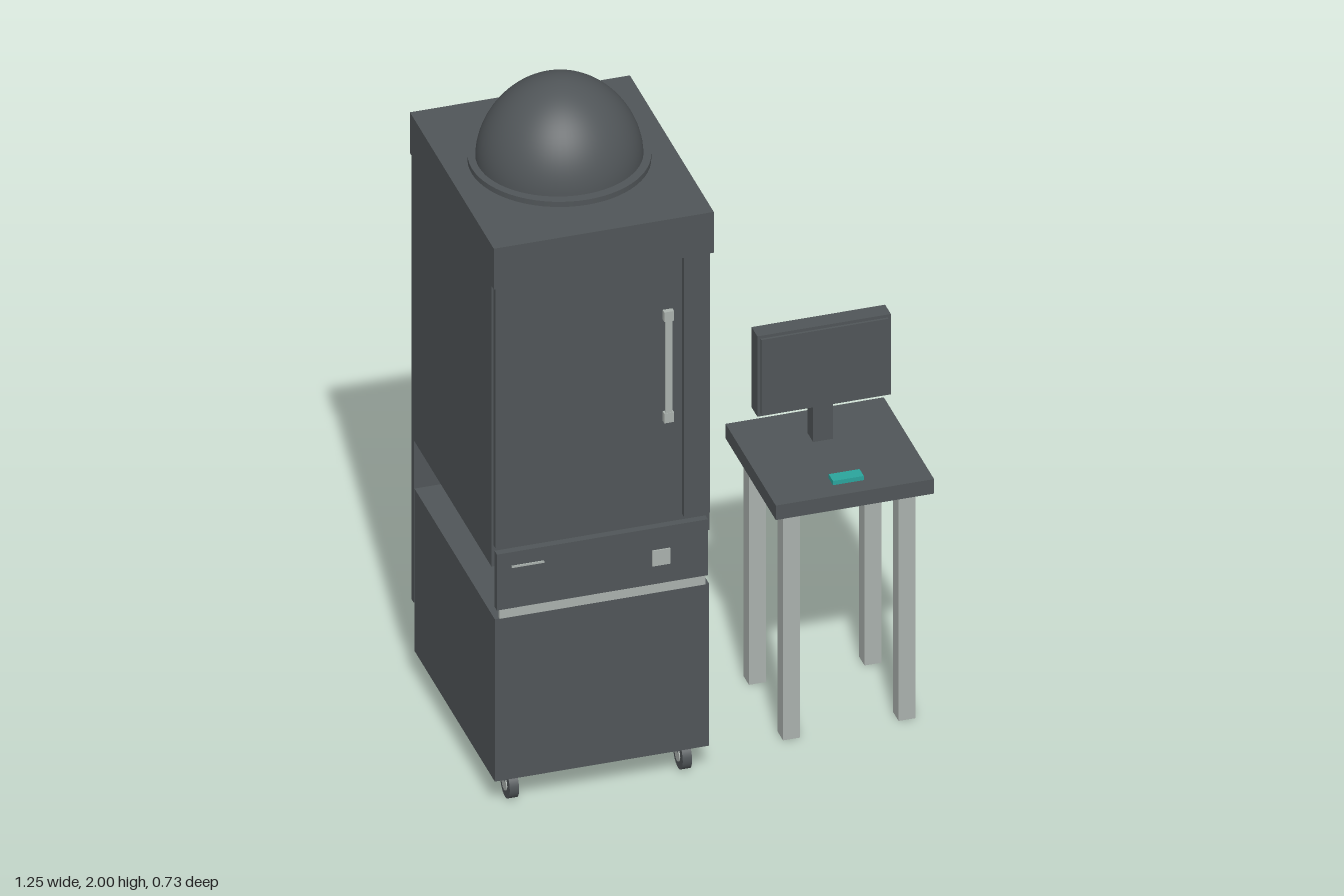
import * as THREE from 'three';

export function createModel() {
  const model = new THREE.Group();
  const mat = (name, color) => {
    const m = new THREE.MeshStandardMaterial({ color });
    m.name = name;
    return m;
  };
  const dark = mat('charcoal', 0x505558);
  const light = mat('light grey', 0xaab1ad);
  const teal = mat('teal', 0x2aa49c);

  const add = (parent, name, geometry, material, x = 0, y = 0, z = 0) => {
    const mesh = new THREE.Mesh(geometry, material);
    mesh.name = name;
    mesh.position.set(x, y, z);
    parent.add(mesh);
    return mesh;
  };
  // Box given by its lower and upper limits on each axis
  const box = (parent, name, material, x0, x1, y0, y1, z0, z1) =>
    add(parent, name, new THREE.BoxGeometry(x1 - x0, y1 - y0, z1 - z0), material,
      (x0 + x1) / 2, (y0 + y1) / 2, (z0 + z1) / 2);
  const group = (name) => {
    const g = new THREE.Group();
    g.name = name;
    model.add(g);
    return g;
  };

  // Cabinet housing: lower case, upper case, cap and rear panel, open gap between
  const cabinet = group('cabinet');
  box(cabinet, 'lowerCase', dark, -0.617, -0.02, 0.085, 0.59, -0.345, 0.352);
  box(cabinet, 'upperCase', dark, -0.621, -0.014, 0.745, 1.625, -0.345, 0.335);
  box(cabinet, 'topCap', dark, -0.624, -0.011, 1.625, 1.752, -0.363, 0.365);
  box(cabinet, 'rearPanel', dark, -0.619, -0.016, 0.235, 1.625, -0.363, -0.345);
  box(cabinet, 'rearSupport', dark, -0.5, -0.14, 0.59, 0.745, -0.345, -0.303);

  // Door, side strip and handle
  box(cabinet, 'door', dark, -0.615, -0.097, 0.81, 1.622, 0.335, 0.351);
  box(cabinet, 'doorSideStrip', dark, -0.09, -0.017, 0.81, 1.622, 0.335, 0.351);
  const handle = group('doorHandle');
  box(handle, 'handleBar', light, -0.145, -0.126, 1.12, 1.465, 0.359, 0.365);
  for (const y of [1.12, 1.435])
    box(handle, 'handleFoot', light, -0.149, -0.122, y, y + 0.03, 0.351, 0.366);

  // Front control panel with slot, button and lower trim
  const panel = group('controlPanel');
  box(panel, 'panelFace', dark, -0.614, -0.026, 0.622, 0.796, 0.34, 0.361);
  box(panel, 'slot', light, -0.573, -0.483, 0.748, 0.754, 0.36, 0.364);
  box(panel, 'button', light, -0.182, -0.132, 0.68, 0.728, 0.36, 0.365);
  box(panel, 'trimStrip', light, -0.605, -0.032, 0.592, 0.622, 0.345, 0.357);

  // Dome on its flange
  const dome = group('dome');
  dome.position.set(-0.319, 0, -0.016);
  add(dome, 'flange', new THREE.CylinderGeometry(0.244, 0.244, 0.016, 64), dark, 0, 1.76, 0);
  const profile = [];
  for (let i = 0; i <= 24; i++) {
    const a = (i / 24) * Math.PI / 2;
    profile.push(new THREE.Vector2(
      0.224 * Math.pow(Math.max(Math.cos(a), 0), 1.06), 0.234 * Math.pow(Math.sin(a), 1.06)));
  }
  profile[24].x = 0;
  const shell = add(dome, 'domeShell', new THREE.LatheGeometry(profile, 64), dark, 0, 1.766, 0);
  shell.scale.z = 0.965;

  // Casters
  for (const x of [-0.559, -0.077]) {
    for (const z of [-0.297, 0.3]) {
      const caster = group('caster');
      caster.position.set(x, 0, z);
      box(caster, 'casterPlate', dark, -0.025, 0.025, 0.074, 0.085, -0.025, 0.025);
      for (const s of [-1, 1])
        box(caster, 'casterFork', dark, s * 0.016 - 0.003, s * 0.016 + 0.003, 0.055, 0.076, -0.012, 0.012);
      const wheel = add(caster, 'wheel', new THREE.CylinderGeometry(0.042, 0.042, 0.026, 28), dark, 0, 0.042, 0);
      wheel.rotation.z = Math.PI / 2;
      const hub = add(caster, 'wheelHub', new THREE.CylinderGeometry(0.02, 0.02, 0.032, 20), light, 0, 0.042, 0);
      hub.rotation.z = Math.PI / 2;
    }
  }

  // Side table
  const table = group('table');
  box(table, 'tableTop', dark, 0.182, 0.623, 0.72, 0.765, -0.134, 0.302);
  for (const x of [0.241, 0.563])
    for (const z of [-0.065, 0.231])
      box(table, 'tableLeg', light, x - 0.0235, x + 0.0235, 0, 0.72, z - 0.0235, z + 0.0235);

  // Monitor on its stand
  const monitor = group('monitor');
  box(monitor, 'monitorBody', dark, 0.217, 0.589, 0.878, 1.128, -0.017, 0.033);
  box(monitor, 'monitorScreen', dark, 0.226, 0.58, 0.887, 1.119, 0.033, 0.04);
  box(monitor, 'monitorStand', dark, 0.375, 0.431, 0.765, 0.955, -0.026, 0.025);

  // Small hand-held device on the table
  box(model, 'handDevice', teal, 0.358, 0.444, 0.765, 0.778, 0.213, 0.25);

  return model;
}
